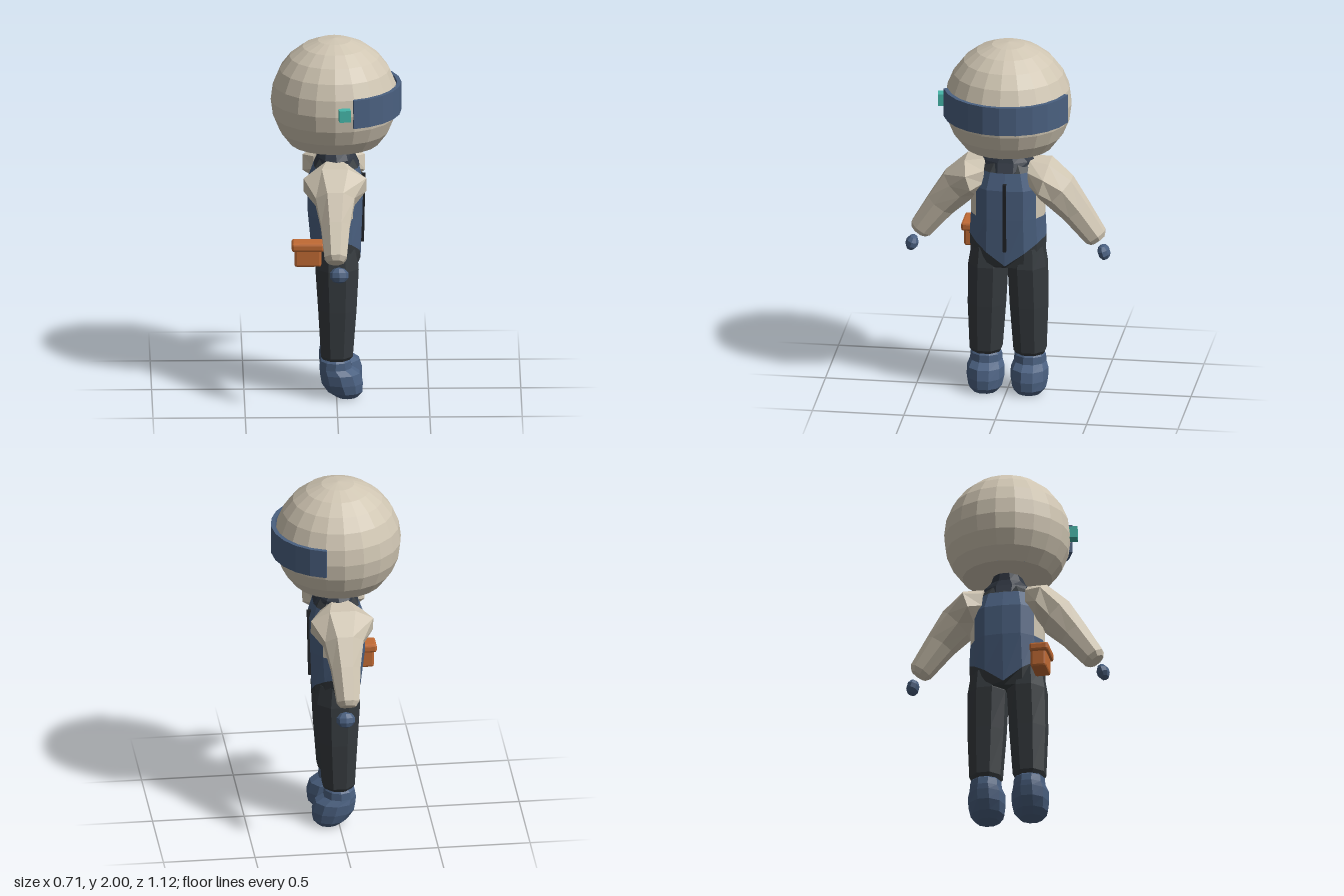
import * as THREE from 'three';
import { RoundedBoxGeometry } from 'three/addons/geometries/RoundedBoxGeometry.js';

const mat = (name, color) => {
  const m = new THREE.MeshStandardMaterial({ color });
  m.name = name;
  return m;
};

// Mesh with one normal per face
function part(name, geometry, material) {
  const g = geometry.index ? geometry.toNonIndexed() : geometry;
  g.computeVertexNormals();
  const mesh = new THREE.Mesh(g, material);
  mesh.name = name;
  return mesh;
}

// Skin a stack of closed rings, capped at both ends; pick(row, column) gives a material index
function loft(rings, pick = () => 0) {
  const buckets = [];
  const tri = (m, ...pts) => (buckets[m] ??= []).push(...pts.flat());
  const n = rings[0].length;
  for (let r = 0; r < rings.length - 1; r++) {
    for (let i = 0; i < n; i++) {
      const j = (i + 1) % n, m = pick(r, i);
      const [a, b, c, d] = [rings[r][i], rings[r][j], rings[r + 1][j], rings[r + 1][i]];
      tri(m, a, b, c);
      tri(m, a, c, d);
    }
  }
  const cap = (ring, m, top) => {
    const mid = [0, 1, 2].map(k => ring.reduce((s, p) => s + p[k], 0) / n);
    ring.forEach((p, i) => {
      const q = ring[(i + 1) % n];
      top ? tri(m, mid, p, q) : tri(m, mid, q, p);
    });
  };
  cap(rings[0], pick(0, 0), false);
  cap(rings.at(-1), pick(rings.length - 2, 0), true);
  const g = new THREE.BufferGeometry();
  let start = 0;
  buckets.forEach((b, m) => {
    g.addGroup(start, b.length / 3, m);
    start += b.length / 3;
  });
  g.setAttribute('position', new THREE.Float32BufferAttribute(buckets.filter(Boolean).flat(), 3));
  return g;
}

// Mirror rings across the body's centre plane
const mirror = (rings, s) => s > 0 ? rings
  : rings.map(r => r.map(([x, y, z]) => [-x, y, z]).reverse());

// Horizontal oval ring: centre x, y, half width, back z, front z
function oval([cx, y, hw, zb, zf], sides = 8) {
  return Array.from({ length: sides }, (_, i) => {
    const a = (i + 0.5) / sides * Math.PI * 2, k = 1 / Math.cos(Math.PI / sides);
    return [cx + hw * k * Math.sin(a), y, (zf + zb) / 2 + (zf - zb) / 2 * k * Math.cos(a)];
  });
}

export function createModel() {
  const cream = mat('cream', 0xd0c6b3);
  const blue = mat('slateBlue', 0x4a6080);
  const dark = mat('charcoal', 0x353a3e);
  const collarDark = mat('collarCharcoal', 0x303742);
  const black = mat('zipBlack', 0x202327);
  const teal = mat('teal', 0x45b5a8);
  const orange = mat('orange', 0xc06a34);

  const body = new THREE.Group();
  body.name = 'body';

  // Helmet: faceted globe cut flat at the neck
  const helmet = new THREE.Group();
  helmet.name = 'helmet';
  const globe = part('helmetShell', new THREE.SphereGeometry(0.345, 20, 9, 0, Math.PI * 2, 0, Math.PI * 0.75), cream);
  const base = part('helmetBase', new THREE.CircleGeometry(0.244, 20).rotateX(Math.PI / 2), cream);
  base.position.y = -0.244;
  helmet.add(globe, base);
  helmet.position.set(0, 1.655, -0.01);
  body.add(helmet);

  // Visor: curved band around the front of the helmet
  const arc = r => Array.from({ length: 11 }, (_, i) => {
    const a = -Math.PI / 2 + (i / 10 - 0.5) * 2.62;
    return new THREE.Vector2(r * Math.cos(a), r * Math.sin(a));
  });
  const band = new THREE.Shape([...arc(0.353), ...arc(0.33).reverse()]);
  const visor = part('visor', new THREE.ExtrudeGeometry(band, { depth: 0.16, bevelEnabled: false }).rotateX(-Math.PI / 2), blue);
  visor.position.y = 1.59;
  body.add(visor);

  // Small lamp on the side of the helmet
  const lamp = part('helmetLamp', new THREE.BoxGeometry(0.05, 0.065, 0.062), teal);
  lamp.position.set(-0.353, 1.672, 0.04);
  lamp.rotation.y = 0.14;
  body.add(lamp);

  // Neck and collar
  body.add(part('collar', loft([
    [0, 1.285, 0.13, -0.12, 0.125], [0, 1.335, 0.135, -0.1, 0.1],
    [0, 1.37, 0.095, -0.09, 0.085], [0, 1.43, 0.07, -0.09, 0.08],
  ].map(r => oval(r, 10))), collarDark));

  // Torso: cream sides, blue front and back panels, pointed lower edge
  const half = [[0, 1], [0.5, 0.95], [0.82, 0.62], [1, 0.2], [1, -0.2], [0.82, -0.62], [0.5, -0.95], [0, -1]];
  const outline = [...half, ...half.slice(1, -1).reverse().map(([x, z]) => [-x, z])];
  const slice = (y, hw, zb, zf) => outline.map(([u, v]) =>
    [u * hw, typeof y === 'function' ? y(Math.abs(u)) : y, v * (v > 0 ? zf : -zb)]);
  const sideColumns = [2, 3, 4, 9, 10, 11];
  const torso = loft([
    slice(0.735, 0.2, -0.11, 0.115),
    slice(u => 0.75 + 0.15 * u, 0.207, -0.13, 0.132),
    slice(1.02, 0.2, -0.155, 0.143),
    slice(1.19, 0.2, -0.155, 0.147),
    slice(1.285, 0.165, -0.122, 0.122),
    slice(1.34, 0.12, -0.09, 0.09),
  ], (row, col) => {
    if (row === 0) return 2;
    if (row === 1) return 1;
    if (sideColumns.includes(col)) return 0;
    return row === 4 ? 2 : 1;
  });
  body.add(part('torso', torso, [cream, blue, dark]));

  // Front zip
  const zip = part('zip', new THREE.BoxGeometry(0.018, 0.39, 0.035), black);
  zip.position.set(0, 1.035, 0.137);
  zip.rotation.x = 0.02;
  body.add(zip);

  // Arm rings: centre x, centre y, half thickness, half depth, tilt
  const armRings = [
    [0.12, 1.25, 0.085, 0.11, 0], [0.2, 1.228, 0.102, 0.17, 0.3],
    [0.28, 1.155, 0.1, 0.105, 0.75], [0.37, 1.045, 0.08, 0.078, 0.95],
    [0.477, 0.9, 0.062, 0.06, 0.95], [0.49, 0.878, 0.045, 0.042, 0.95],
  ].map(([x, y, t, d, a]) => Array.from({ length: 8 }, (_, i) => {
    const q = (i + 0.5) / 8 * Math.PI * 2, k = 1 / Math.cos(Math.PI / 8);
    const p = t * k * Math.cos(q);
    return [x + p * Math.sin(a), y + p * Math.cos(a), -0.01 + d * k * Math.sin(q)];
  }));

  const legRings = [
    [0.12, 0.215, 0.075, -0.072, 0.072], [0.12, 0.235, 0.086, -0.085, 0.088],
    [0.115, 0.5, 0.1, -0.1, 0.108], [0.108, 0.73, 0.104, -0.115, 0.12],
    [0.11, 0.84, 0.085, -0.1, 0.1],
  ].map(r => oval(r));

  const bootRings = [
    [0.12, 0, 0.062, 0, 0.115], [0.12, 0.03, 0.088, -0.045, 0.14],
    [0.12, 0.08, 0.098, -0.08, 0.142], [0.12, 0.135, 0.098, -0.09, 0.125],
    [0.12, 0.165, 0.085, -0.092, 0.08], [0.12, 0.205, 0.082, -0.085, 0.075],
    [0.12, 0.225, 0.065, -0.06, 0.06],
  ].map(r => oval(r, 10));

  // Paired limbs
  for (const s of [1, -1]) {
    const side = s > 0 ? 'left' : 'right';
    body.add(part(side + 'Arm', loft(mirror(armRings, s)), cream));
    body.add(part(side + 'Leg', loft(mirror(legRings, s)), dark));
    body.add(part(side + 'Boot', loft(mirror(bootRings, s)), blue));
    const hand = part(side + 'Hand', new THREE.SphereGeometry(1, 8, 5), blue);
    hand.scale.set(0.036, 0.044, 0.053);
    hand.position.set(s * 0.525, 0.817, 0.008);
    hand.rotation.z = s * 0.3;
    body.add(hand);
  }

  // Hip pouch with overhanging flap
  const pouch = new THREE.Group();
  pouch.name = 'pouch';
  const pocket = part('pouchPocket', new RoundedBoxGeometry(0.085, 0.12, 0.145, 1, 0.012), orange);
  pocket.position.set(-0.212, 0.835, -0.157);
  const flap = part('pouchFlap', new RoundedBoxGeometry(0.105, 0.048, 0.175, 1, 0.012), orange);
  flap.position.set(-0.217, 0.888, -0.157);
  pouch.add(pocket, flap);
  body.add(pouch);

  // The figure looks toward +x
  body.rotation.y = Math.PI / 2;
  const model = new THREE.Group();
  model.name = 'figure';
  model.add(body);
  return model;
}
